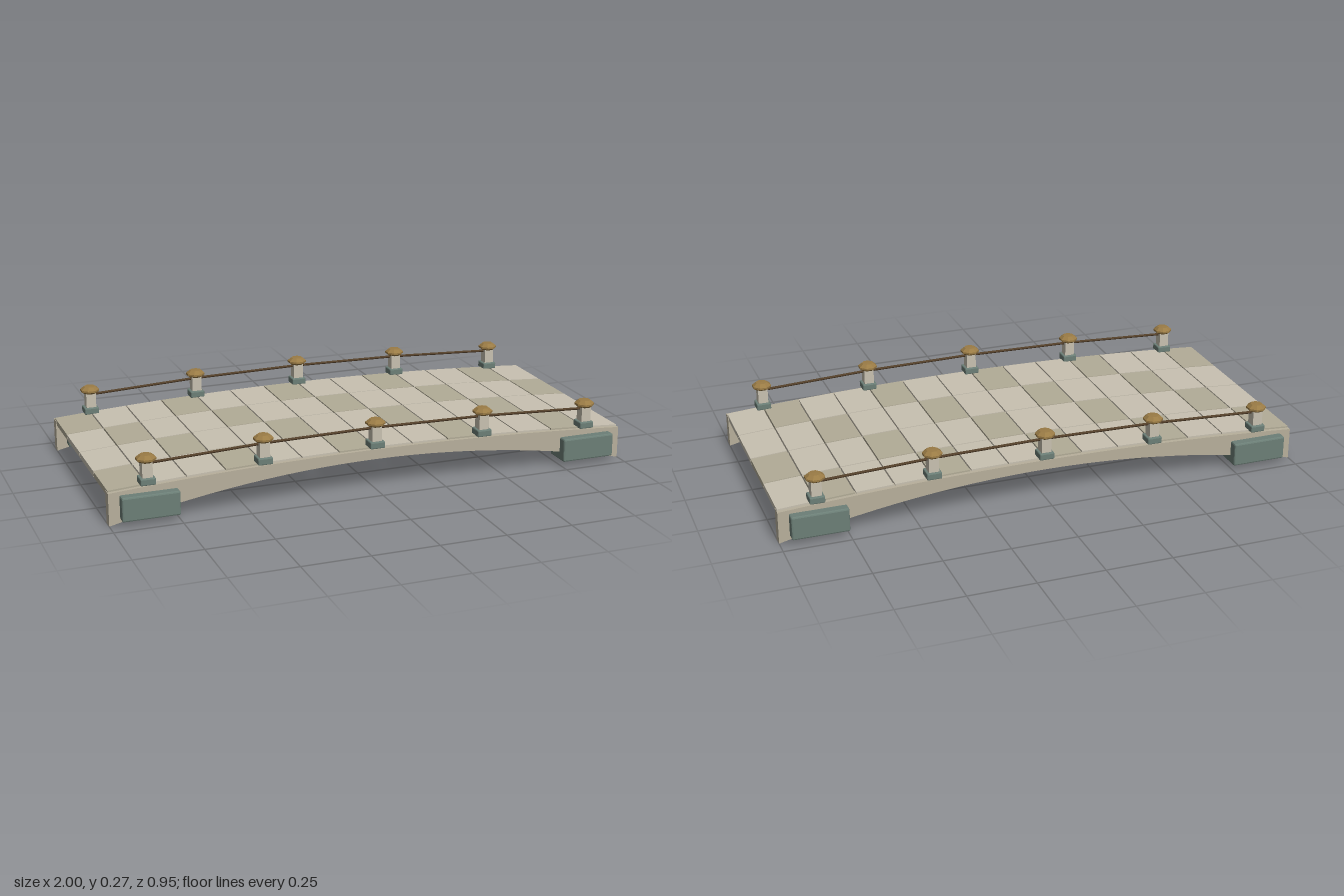
import * as THREE from 'three';
import { RoundedBoxGeometry } from 'three/addons/geometries/RoundedBoxGeometry.js';

const mat = (color) => new THREE.MeshStandardMaterial({ color, flatShading: true });
const deckY = (x) => 0.163 - 0.036 * x * x; // walking surface
const COLS = 14, ROWS = 4, PITCH_X = 2 / COLS, PITCH_Z = 0.2135, GAP = 0.005;
const RAIL_Z = 0.42;

export function createModel() {
  const model = new THREE.Group();
  const lightStone = mat(0xc8c1b1), darkStone = mat(0xb2ac97), beamStone = mat(0xb8b09c);
  const greenStone = mat(0x6c7f77), brass = mat(0x9a7b45), rope = mat(0x54402a);

  const add = (parent, name, geometry, material, x = 0, y = 0, z = 0) => {
    const mesh = new THREE.Mesh(geometry, material);
    mesh.name = name;
    mesh.position.set(x, y, z);
    parent.add(mesh);
    return mesh;
  };

  // Paving slabs, each tilted to follow the arch
  const deck = new THREE.Group();
  deck.name = 'deck';
  model.add(deck);
  const thick = 0.024;
  const slab = new THREE.BoxGeometry(PITCH_X - GAP, thick, PITCH_Z - GAP);
  for (let i = 0; i < COLS; i++) {
    const x0 = -1 + i * PITCH_X, x1 = x0 + PITCH_X;
    const y0 = deckY(x0), y1 = deckY(x1);
    for (let j = 0; j < ROWS; j++) {
      const stone = (i + 2 * j) % 3 === 0 ? darkStone : lightStone;
      const tile = add(deck, 'pavingSlab', slab, stone,
        (x0 + x1) / 2, (y0 + y1) / 2 - thick / 2, (j - 1.5) * PITCH_Z);
      tile.rotation.z = Math.atan2(y1 - y0, PITCH_X);
    }
  }

  // Arched side beam outline: top follows the deck, underside is a deeper arch
  const outline = new THREE.Shape();
  const N = 28;
  for (let i = 0; i <= N; i++) {
    const x = -1 + (2 * i) / N;
    if (i === 0) outline.moveTo(x, 0);
    else outline.lineTo(x, 0.12 * (1 - x * x));
  }
  for (let i = N; i >= 0; i--) {
    const x = -1 + (2 * i) / N;
    outline.lineTo(x, deckY(x) - 0.006);
  }
  outline.closePath();
  const beamGeo = new THREE.ExtrudeGeometry(outline, { depth: 0.038, bevelEnabled: false });
  beamGeo.translate(0, 0, -0.019);

  const footGeo = new RoundedBoxGeometry(0.21, 0.09, 0.107, 1, 0.006);
  const baseGeo = new RoundedBoxGeometry(0.056, 0.026, 0.056, 1, 0.004);
  const shaftGeo = new THREE.BoxGeometry(0.038, 0.064, 0.038);
  // Faceted cap with sloping shoulders
  const capGeo = new THREE.LatheGeometry([
    [0, 0], [0.026, 0], [0.037, 0.008], [0.037, 0.015], [0.022, 0.027], [0, 0.028],
  ].map(([r, y]) => new THREE.Vector2(r, y)), 8, Math.PI / 8);

  for (const side of [1, -1]) {
    const z = side * RAIL_Z;
    add(model, 'sideBeam', beamGeo, beamStone, 0, 0, z);
    for (const end of [-1, 1]) add(model, 'abutment', footGeo, greenStone, end * 0.855, 0.065, z);

    // Posts with ropes strung between neighbours
    const railing = new THREE.Group();
    railing.name = side > 0 ? 'frontRailing' : 'backRailing';
    model.add(railing);
    const ties = [];
    for (let k = -2; k <= 2; k++) {
      const x = k * 3 * PITCH_X, y = deckY(x);
      add(railing, 'postBase', baseGeo, greenStone, x, y + 0.011, z);
      add(railing, 'postShaft', shaftGeo, lightStone, x, y + 0.05, z);
      add(railing, 'postCap', capGeo, brass, x, y + 0.079, z);
      ties.push(new THREE.Vector3(x, y + 0.072, z));
    }
    for (let k = 0; k < 4; k++) {
      add(railing, 'rope', new THREE.TubeGeometry(
        new THREE.LineCurve3(ties[k], ties[k + 1]), 1, 0.005, 6), rope);
    }
  }
  return model;
}
